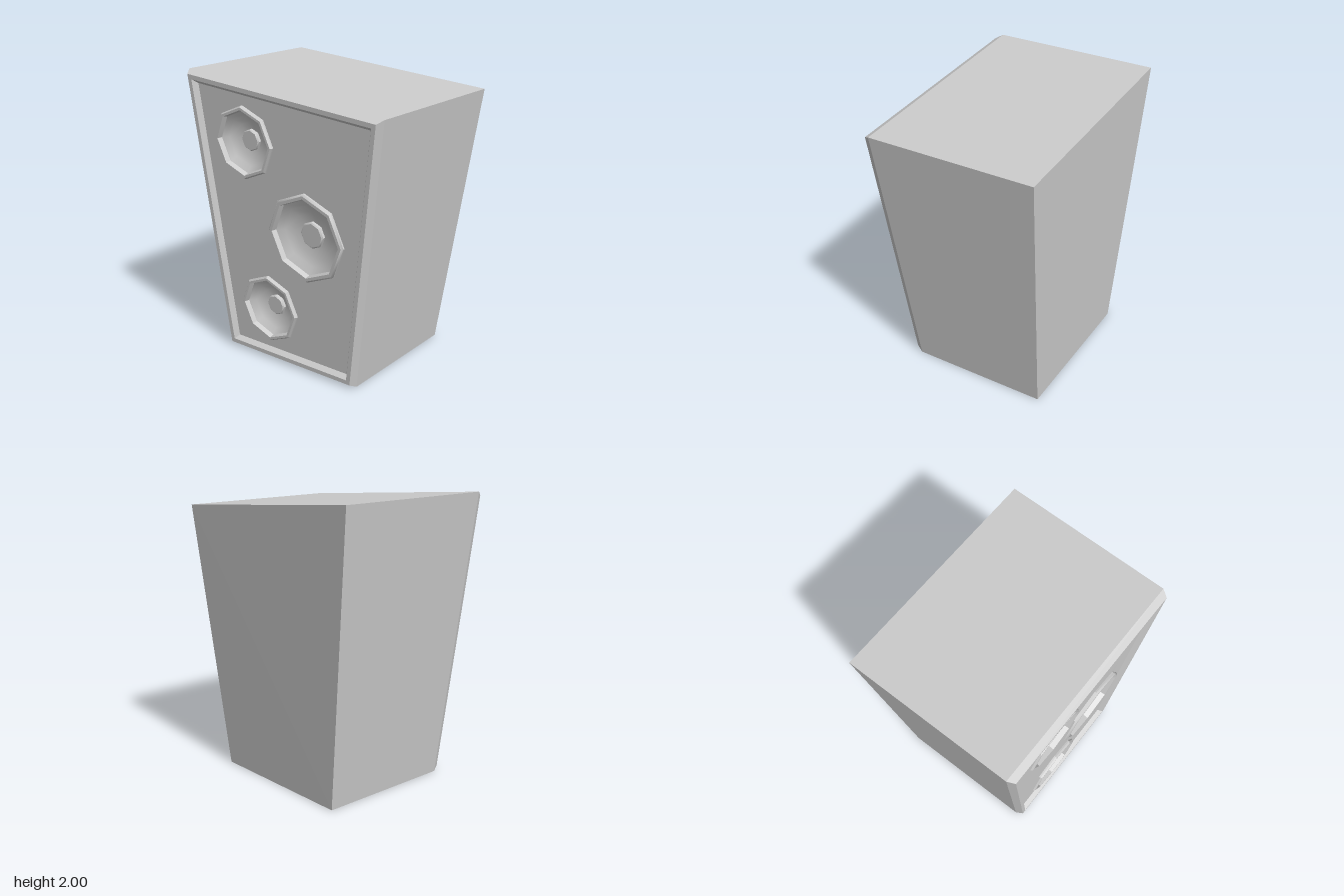
import * as THREE from 'three';
import { toCreasedNormals } from 'three/addons/utils/BufferGeometryUtils.js';

const mat = new THREE.MeshStandardMaterial({ color: 0xcccccc });

// Slanted outline of the cabinet, anticlockwise from the front: BL, BR, TR, TL
const outline = [[-0.57, 0], [0.54, 0], [0.8, 1.87], [-0.8, 2]].map(p => new THREE.Vector2(...p));
const heightShare = (x, y) => y / (1.935 - 0.081 * x);
const frontZ = (x, y) => 0.511 + 0.102 * heightShare(x, y);
const backZ = (x, y) => -0.52 - 0.093 * heightShare(x, y);

// Outline moved inward by d on every side
function inset(d) {
  return outline.map((p, i) => {
    const a = p.clone().sub(outline[(i + 3) % 4]).normalize();
    const b = outline[(i + 1) % 4].clone().sub(p).normalize();
    const k = d / a.cross(b);
    return p.clone().addScaledVector(b, k).addScaledVector(a, -k);
  });
}

const ring = (d, depth) => inset(d).map(p => [p.x, p.y, frontZ(p.x, p.y) + depth]);
const PANEL_INSET = 0.08, PANEL_DEPTH = -0.035;

// Cabinet shell: back, sides, bevel, rim and sloped inner lip
function cabinet() {
  const rings = [
    outline.map(p => [p.x, p.y, backZ(p.x, p.y)]),
    ring(0, -0.05),
    ring(0.025, 0),
    ring(0.055, 0),
    ring(PANEL_INSET, PANEL_DEPTH),
  ];
  const pos = [];
  const quad = (a, b, c, d) => pos.push(...a, ...b, ...c, ...a, ...c, ...d);
  for (let r = 0; r < rings.length - 1; r++) {
    for (let i = 0; i < 4; i++) {
      const j = (i + 1) % 4;
      quad(rings[r][i], rings[r][j], rings[r + 1][j], rings[r + 1][i]);
    }
  }
  const [bl, br, tr, tl] = rings[0];
  quad(bl, tl, tr, br);
  const geo = new THREE.BufferGeometry();
  geo.setAttribute('position', new THREE.Float32BufferAttribute(pos, 3));
  geo.computeVertexNormals();
  return geo;
}

const speakers = [
  { name: 'upperSpeaker', x: -0.32, y: 1.56, r: 0.252 },
  { name: 'middleSpeaker', x: 0.175, y: 0.99, r: 0.312 },
  { name: 'lowerSpeaker', x: -0.18, y: 0.385, r: 0.247 },
];

// Recessed front panel with an octagonal opening behind each speaker
function frontPanel() {
  const shape = new THREE.Shape(inset(PANEL_INSET));
  for (const s of speakers) {
    const hole = [];
    for (let i = 0; i < 8; i++) {
      const a = -i * Math.PI / 4;
      hole.push(new THREE.Vector2(s.x + Math.cos(a) * s.r * 0.95, s.y + Math.sin(a) * s.r * 0.95));
    }
    shape.holes.push(new THREE.Path(hole));
  }
  const geo = new THREE.ShapeGeometry(shape);
  const p = geo.attributes.position;
  for (let i = 0; i < p.count; i++) p.setZ(i, frontZ(p.getX(i), p.getY(i)) + PANEL_DEPTH);
  geo.computeVertexNormals();
  return geo;
}

// Eight-sided turned part, its axis facing forward
function turned(name, r, profile) {
  const pts = profile.map(([x, y]) => new THREE.Vector2(x * r, y));
  const geo = toCreasedNormals(new THREE.LatheGeometry(pts, 8).rotateX(Math.PI / 2), 0.6);
  const mesh = new THREE.Mesh(geo, mat);
  mesh.name = name;
  return mesh;
}

function speaker({ name, x, y, r }) {
  const g = new THREE.Group();
  g.name = name;
  g.add(
    turned('surround', r, [[1, -0.012], [1, 0.012], [0.96, 0.025], [0.89, 0.025], [0.86, -0.012]]),
    turned('cone', r, [[0.86, -0.012], [0.84, -0.015], [0.7, -0.045], [0.5, -0.07], [0.28, -0.08]]),
    turned('dustCap', r, [[0.3, -0.085], [0.3, -0.06], [0.27, -0.052], [0, -0.052]]),
  );
  g.position.set(x, y, frontZ(x, y) + PANEL_DEPTH);
  g.rotation.x = 0.052;
  return g;
}

export function createModel() {
  const model = new THREE.Group();
  model.name = 'loudspeaker';
  const parts = { cabinet: cabinet(), frontPanel: frontPanel() };
  for (const [name, geo] of Object.entries(parts)) {
    const mesh = new THREE.Mesh(geo, mat);
    mesh.name = name;
    model.add(mesh);
  }
  for (const s of speakers) model.add(speaker(s));
  return model;
}
